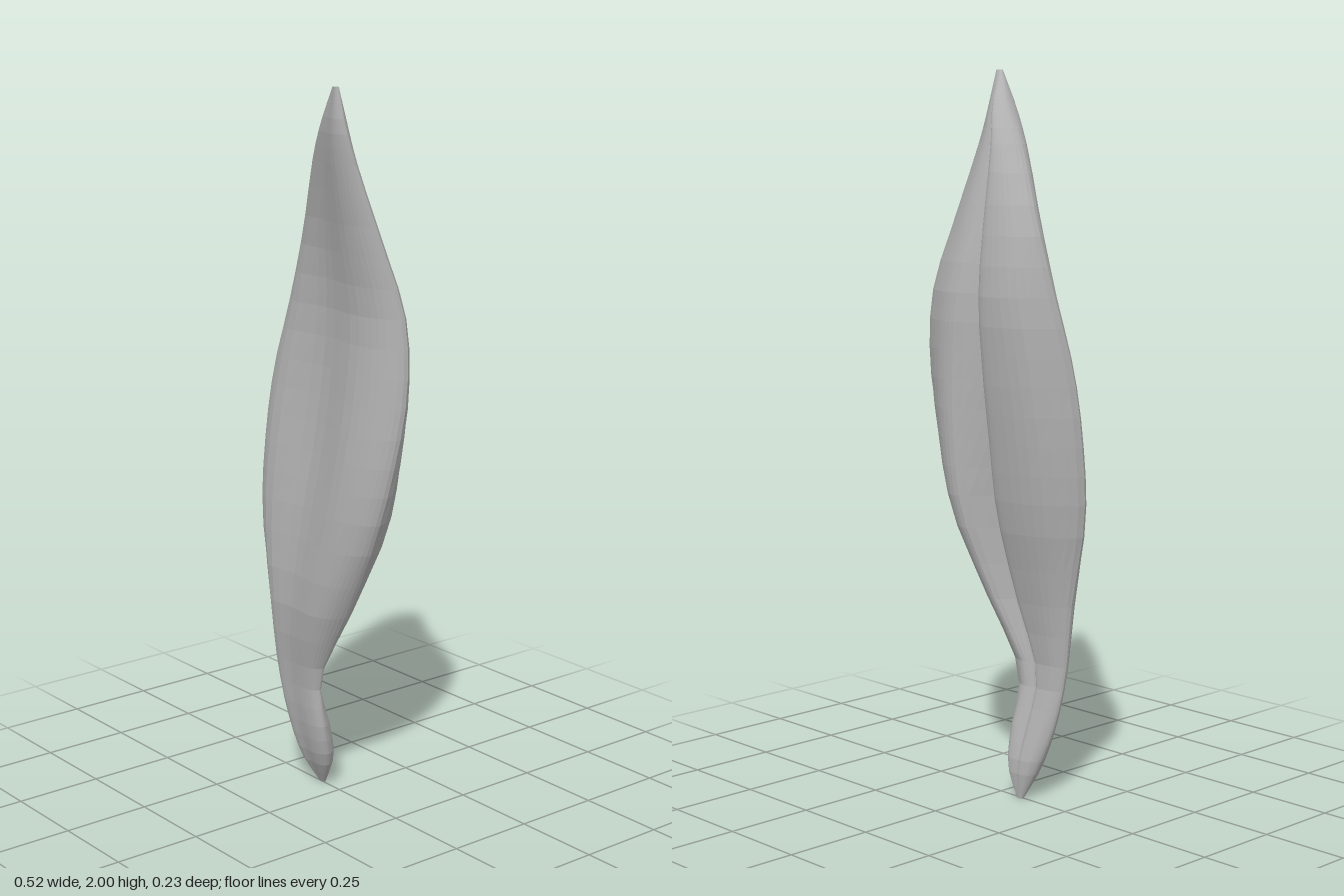
import * as THREE from 'three';

// Cross-sections from bottom to top:
// y, left x, right x, left z, right z, front-left z, front-right z, groove x, groove z, back-left z, back-right z
const SECTIONS = [
  [0.00, -0.09, -0.07, -0.003, -0.003, 0.002, 0.002, -0.08, -0.01, -0.01, -0.01],
  [0.09, -0.13, -0.02, 0.015, 0.02, 0.045, 0.045, -0.08, -0.015, -0.016, -0.016],
  [0.20, -0.16, -0.008, 0.045, 0.045, 0.07, 0.07, -0.085, 0.015, 0.01, 0.005],
  [0.34, -0.183, -0.014, 0.065, 0.055, 0.088, 0.082, -0.09, 0.05, 0.042, 0.038],
  [0.55, -0.208, 0.088, 0.065, 0.04, 0.106, 0.11, -0.03, 0.04, 0.015, -0.008],
  [0.80, -0.255, 0.20, 0.065, 0.035, 0.10, 0.10, 0.0, 0.01, -0.045, -0.075],
  [1.00, -0.26, 0.245, 0.05, 0.01, 0.085, 0.08, 0.0, -0.015, -0.075, -0.088],
  [1.20, -0.245, 0.259, 0.03, -0.02, 0.06, 0.055, 0.0, -0.033, -0.10, -0.086],
  [1.40, -0.21, 0.243, -0.005, -0.025, 0.035, 0.04, 0.0, -0.03, -0.113, -0.075],
  [1.60, -0.155, 0.20, -0.018, 0.02, 0.03, 0.065, 0.005, 0.0, -0.085, -0.025],
  [1.80, -0.055, 0.16, 0.025, 0.072, 0.065, 0.10, 0.025, 0.045, -0.03, 0.035],
  [1.90, 0.02, 0.145, 0.05, 0.095, 0.09, 0.113, 0.065, 0.068, 0.02, 0.065],
  [2.00, 0.10, 0.122, 0.10, 0.10, 0.105, 0.108, 0.11, 0.098, 0.097, 0.097],
];
const SIDES = 48;
const RINGS = 30;

// Control points around one section: left edge, creased front, right edge, two back lobes with a groove between
function controlRing([y, xl, xr, zl, zr, fl, fr, xg, zg, bl, br]) {
  const mix = THREE.MathUtils.lerp;
  const dip = 0.028 * Math.exp(-(((y - 1.05) / 0.35) ** 2));
  return [
    [xl, zl], [mix(xl, xr, 0.11), fl], [mix(xl, xr, 0.42), (fl + fr) / 2 - dip], [mix(xl, xr, 0.75), fr],
    [mix(xl, xr, 0.93), mix(zr, fr, 0.65)], [xr, zr],
    [mix(xg, xr, 0.65), mix(zr, br, 0.92)], [mix(xg, xr, 0.4), br], [xg, zg],
    [mix(xg, xl, 0.09), mix(zg, bl, 0.88)], [mix(xg, xl, 0.27), bl], [mix(xg, xl, 0.72), mix(zl, bl, 0.75)],
  ].map(([x, z]) => new THREE.Vector3(x, y, z));
}

// Loft: lengthwise rails through the sections, closed rings across the rails
function bodyGeometry() {
  const rings = SECTIONS.map(controlRing);
  const rails = rings[0].map((_, i) => new THREE.CatmullRomCurve3(rings.map((r) => r[i])));
  const positions = [];
  const index = [];
  for (let j = 0; j <= RINGS; j++) {
    const ring = new THREE.CatmullRomCurve3(rails.map((r) => r.getPoint(j / RINGS)), true);
    for (let i = 0; i < SIDES; i++) positions.push(...ring.getPoint(i / SIDES).toArray());
  }
  const at = (j, i) => j * SIDES + (i % SIDES);
  for (let j = 0; j < RINGS; j++) {
    for (let i = 0; i < SIDES; i++) {
      index.push(at(j, i), at(j, i + 1), at(j + 1, i + 1), at(j, i), at(j + 1, i + 1), at(j + 1, i));
    }
  }
  // Small end caps
  for (let i = 1; i < SIDES - 1; i++) {
    index.push(at(0, 0), at(0, i + 1), at(0, i));
    index.push(at(RINGS, 0), at(RINGS, i), at(RINGS, i + 1));
  }
  const geometry = new THREE.BufferGeometry();
  geometry.setAttribute('position', new THREE.Float32BufferAttribute(positions, 3));
  geometry.setIndex(index);
  geometry.computeVertexNormals();
  return geometry;
}

export function createModel() {
  const grey = new THREE.MeshStandardMaterial({ color: 0xb0b0b0, flatShading: true });
  grey.name = 'grey';
  const model = new THREE.Group();
  model.name = 'muscle';
  const body = new THREE.Mesh(bodyGeometry(), grey);
  body.name = 'muscleBody';
  model.add(body);
  return model;
}
